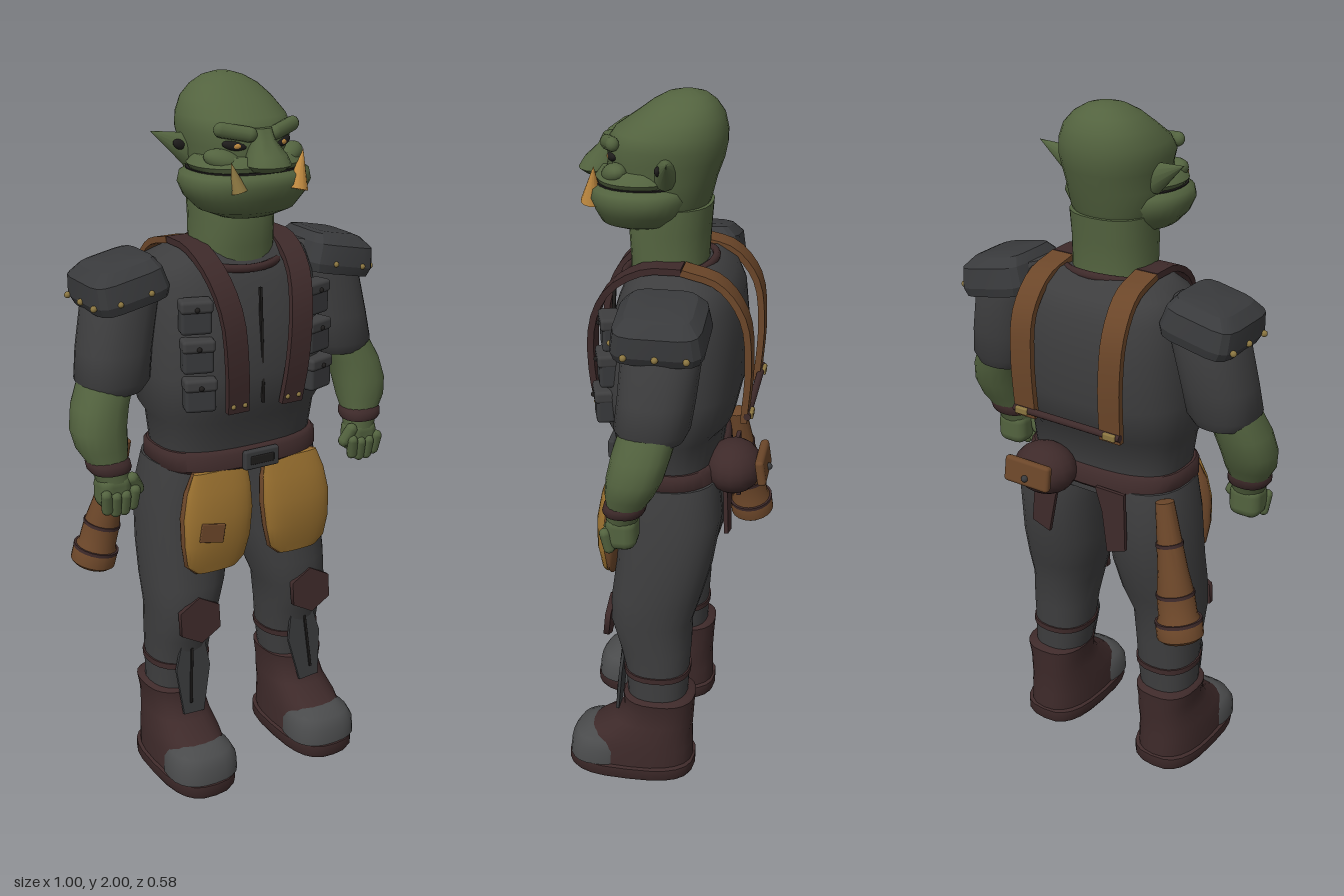
import * as THREE from 'three';
import { toCreasedNormals } from 'three/addons/utils/BufferGeometryUtils.js';
import { RoundedBoxGeometry } from 'three/addons/geometries/RoundedBoxGeometry.js';

const mat = (name, hex) => Object.assign(new THREE.MeshStandardMaterial({ color: hex }), { name });
const M = {
  skin: mat('green skin', 0x53633f), cloth: mat('charcoal cloth', 0x3e3e3f), plate: mat('dark plate', 0x393a3c),
  toe: mat('grey toe cap', 0x4a4b4c), hide: mat('dark red leather', 0x3e2a2a), leather: mat('brown leather', 0x6b4629),
  apron: mat('ochre leather', 0x99702f), tusk: mat('amber tusk', 0xc08a40), black: mat('near black', 0x1f1d1c),
  brass: mat('brass', 0x8a7540),
};

export function createModel() {
  const model = new THREE.Group();
  model.name = 'armouredGoblin';

  function add(name, geo, material, pos = [0, 0, 0], rot = [0, 0, 0], scale = [1, 1, 1]) {
    const m = new THREE.Mesh(geo, material);
    m.name = name;
    m.position.set(...pos); m.rotation.set(...rot); m.scale.set(...scale);
    model.add(m);
    return m;
  }
  // closed surface through equal-sized rings of points, capped at both ends
  function skin(rings, crease) {
    const n = rings[0].length, pos = [], idx = [], last = rings.length - 1;
    rings.forEach(r => r.forEach(p => pos.push(p.x, p.y, p.z)));
    for (let i = 0; i < last; i++) for (let j = 0; j < n; j++) {
      const a = i * n + j, b = i * n + (j + 1) % n;
      idx.push(a, a + n, b, b, a + n, b + n);
    }
    [0, last].forEach((r, k) => {
      const c = new THREE.Vector3();
      rings[r].forEach(p => c.addScaledVector(p, 1 / n));
      const ci = pos.length / 3;
      pos.push(c.x, c.y, c.z);
      for (let j = 0; j < n; j++) {
        const a = r * n + j, b = r * n + (j + 1) % n;
        idx.push(ci, k ? b : a, k ? a : b);
      }
    });
    const g = new THREE.BufferGeometry();
    g.setAttribute('position', new THREE.Float32BufferAttribute(pos, 3));
    g.setIndex(idx);
    return toCreasedNormals(g, crease);
  }
  // rows, bottom to top: [y, centre x, centre z, radius x, radius z]
  function loft(name, material, rows, { p = 2.3, n = 24, crease = 0.8, turn = 0 } = {}) {
    const pw = v => Math.sign(v) * Math.abs(v) ** (2 / p);
    const rings = rows.map(([y, cx, cz, rx, rz]) => Array.from({ length: n }, (_, j) => {
      const a = (j / n) * Math.PI * 2 + turn;
      return new THREE.Vector3(cx + rx * pw(Math.cos(a)), y, cz + rz * pw(Math.sin(a)));
    }));
    return add(name, skin(rings, crease), material);
  }
  // flat strap following a curve, its width along x
  function band(name, material, pts, w, t) {
    const curve = new THREE.CatmullRomCurve3(pts.map(q => new THREE.Vector3(...q)));
    const X = new THREE.Vector3(1, 0, 0), rings = [];
    for (let i = 0; i <= 14; i++) {
      const c = curve.getPoint(i / 14), N = X.clone().cross(curve.getTangent(i / 14)).normalize();
      rings.push([[1, -1], [1, 1], [-1, 1], [-1, -1]].map(([u, v]) =>
        c.clone().addScaledVector(X, u * w / 2).addScaledVector(N, v * t / 2)));
    }
    return add(name, skin(rings, 0.7), material);
  }
  const box = (w, h, d, r = 0.01) => new RoundedBoxGeometry(w, h, d, 2, r);
  const ball = r => new THREE.SphereGeometry(r, 16, 12);

  // head, neck and jaw
  loft('neck', M.skin, [[1.48, 0, 0.01, 0.125, 0.11], [1.56, 0, 0.015, 0.115, 0.105], [1.64, 0, 0.015, 0.115, 0.11], [1.71, 0, 0.0, 0.115, 0.1]]);
  loft('skull', M.skin, [[1.66, 0, 0.03, 0.09, 0.1], [1.72, 0, 0.03, 0.125, 0.125], [1.78, 0, 0.04, 0.137, 0.15],
    [1.83, 0, 0.025, 0.14, 0.153], [1.865, 0, 0.025, 0.148, 0.16], [1.9, 0, 0.012, 0.142, 0.148], [1.94, 0, -0.012, 0.12, 0.115],
    [1.97, 0, -0.022, 0.09, 0.085], [1.99, 0, -0.028, 0.055, 0.055], [2.0, 0, -0.03, 0.02, 0.02]], { p: 2.15, n: 32, crease: 1.2 });
  loft('jaw', M.skin, [[1.645, 0, 0.09, 0.08, 0.07], [1.665, 0, 0.09, 0.13, 0.11], [1.7, 0, 0.085, 0.165, 0.13],
    [1.735, 0, 0.085, 0.18, 0.145], [1.76, 0, 0.085, 0.175, 0.14], [1.772, 0, 0.085, 0.155, 0.12]], { n: 32, crease: 1 });
  loft('upperLip', M.skin, [[1.77, 0, 0.09, 0.15, 0.115], [1.785, 0, 0.09, 0.16, 0.12], [1.81, 0, 0.09, 0.14, 0.1]], { n: 32, crease: 1 });
  loft('mouthLine', M.black, [[1.766, 0, 0.085, 0.158, 0.127], [1.773, 0, 0.085, 0.158, 0.127]], { n: 32 });
  loft('nose', M.skin, [[1.775, 0, 0.195, 0.045, 0.045], [1.79, 0, 0.205, 0.06, 0.055], [1.815, 0, 0.195, 0.052, 0.05],
    [1.85, 0, 0.175, 0.032, 0.033], [1.88, 0, 0.165, 0.028, 0.028]], { n: 14 });

  // torso, belt and hips
  loft('torso', M.cloth, [[0.92, 0, 0.0, 0.22, 0.13], [1.0, 0, 0.008, 0.235, 0.142], [1.09, 0, 0.01, 0.245, 0.155], [1.12, 0, 0.005, 0.262, 0.175],
    [1.22, 0, 0, 0.268, 0.193], [1.36, 0, -0.01, 0.262, 0.185], [1.46, 0, -0.02, 0.25, 0.165], [1.52, 0, -0.02, 0.23, 0.14], [1.555, 0, -0.01, 0.16, 0.1]], { p: 2.7, n: 36 });
  loft('belt', M.hide, [[0.945, 0, 0.01, 0.242, 0.155], [0.955, 0, 0.01, 0.25, 0.165], [0.995, 0, 0.01, 0.25, 0.162], [1.005, 0, 0.01, 0.242, 0.152]], { p: 2.7, n: 36 });
  add('buckle', box(0.11, 0.055, 0.02, 0.006), M.plate, [0, 0.975, 0.18]);
  add('buckleSlot', box(0.075, 0.025, 0.01, 0.003), M.black, [0, 0.975, 0.188]);
  add('collar', new THREE.TorusGeometry(0.14, 0.012, 8, 32), M.hide, [0, 1.53, 0.015], [Math.PI / 2 + 0.2, 0, 0], [1, 0.9, 1]);
  add('jacketSeam', box(0.008, 0.32, 0.01, 0.002), M.black, [0, 1.3, 0.181], [-0.06, 0, 0]);
  add('backBar', new THREE.CylinderGeometry(0.01, 0.01, 0.35, 10), M.hide, [0, 1.17, -0.222], [0, 0, Math.PI / 2]);

  for (const s of [1, -1]) {
    const side = s > 0 ? 'left' : 'right', nm = t => side + t;
    const rows = a => a.map(([y, x, ...r]) => [y, s * x, ...r]);

    // face
    add(nm('Ear'), new THREE.ConeGeometry(0.045, 0.12, 12), M.skin, [s * 0.173, 1.838, -0.002], [0, s * 0.2, -s * 1.12], [1, 1, 0.7]);
    add(nm('EarHollow'), ball(0.018), M.black, [s * 0.158, 1.828, 0.021], [0, 0, -s * 1.1], [0.7, 1.1, 0.5]);
    add(nm('Brow'), new THREE.CapsuleGeometry(0.02, 0.075, 4, 10), M.skin, [s * 0.073, 1.872, 0.162], [0, s * 0.4, s * 1.75], [1, 1, 0.9]);
    add(nm('EyeSocket'), ball(0.03), M.black, [s * 0.072, 1.838, 0.156], [0, s * 0.4, s * 0.15], [1.1, 0.45, 0.4]);
    add(nm('Eye'), ball(0.013), M.tusk, [s * 0.07, 1.837, 0.164], [0, s * 0.4, 0], [1, 0.6, 0.5]);
    add(nm('Cheek'), ball(0.04), M.skin, [s * 0.1, 1.8, 0.145], [0, s * 0.5, s * 0.3], [1.3, 0.7, 0.8]);
    add(nm('Tusk'), new THREE.ConeGeometry(s > 0 ? 0.03 : 0.022, s > 0 ? 0.105 : 0.08, 12), s > 0 ? M.tusk : M.brass,
      [s * 0.098, s > 0 ? 1.77 : 1.768, 0.203], [-0.12, 0, -s * 0.25]);

    // arms
    loft(nm('Sleeve'), M.cloth, rows([[1.19, 0.365, 0, 0.08, 0.085], [1.22, 0.362, 0, 0.1, 0.1], [1.3, 0.35, -0.01, 0.1, 0.102],
      [1.42, 0.325, -0.02, 0.1, 0.105], [1.5, 0.3, -0.02, 0.09, 0.09], [1.53, 0.28, -0.02, 0.06, 0.06]]));
    loft(nm('Forearm'), M.skin, rows([[0.96, 0.405, 0.075, 0.045, 0.042], [1.0, 0.412, 0.065, 0.05, 0.048], [1.05, 0.422, 0.05, 0.07, 0.065],
      [1.1, 0.424, 0.035, 0.076, 0.075], [1.16, 0.41, 0.02, 0.077, 0.078], [1.24, 0.375, 0.0, 0.075, 0.075]]), { n: 18 });
    loft(nm('Bracelet'), M.hide, rows([[0.985, 0.409, 0.07, 0.054, 0.052], [0.995, 0.411, 0.068, 0.06, 0.057], [1.01, 0.413, 0.064, 0.06, 0.057], [1.02, 0.415, 0.06, 0.055, 0.053]]));
    add(nm('Palm'), box(0.095, 0.1, 0.085, 0.03), M.skin, [s * 0.405, 0.93, 0.075]);
    for (let i = 0; i < 4; i++)
      add(nm('Finger'), new THREE.CapsuleGeometry(0.016, 0.045, 4, 8), M.skin, [s * (0.36 + i * 0.027), 0.905 + (i === 1 || i === 2 ? -0.006 : 0.004), 0.11], [0.2, 0, s * (0.1 - i * 0.07)]);
    add(nm('Thumb'), new THREE.CapsuleGeometry(0.018, 0.04, 4, 8), M.skin, [s * 0.35, 0.945, 0.1], [0.2, 0, -s * 0.5]);

    // shoulder guards
    const pad = loft(nm('ShoulderGuard'), M.plate, [[-0.06, 0, 0, 0.104, 0.118], [-0.035, 0, 0, 0.112, 0.124],
      [0.02, 0, 0, 0.104, 0.115], [0.045, -s * 0.01, 0, 0.08, 0.088], [0.05, -s * 0.01, 0, 0.06, 0.07]], { p: 5, n: 16, crease: 0.3, turn: Math.PI / 16 });
    pad.position.set(s * 0.333, 1.49, -0.018); pad.rotation.z = -s * 0.2;
    for (const z of [-0.1, -0.02, 0.06])
      add(nm('GuardRivet'), ball(0.009), M.brass, [s * 0.437, 1.435, z]);
    for (const x of [0.29, 0.38])
      add(nm('GuardFrontRivet'), ball(0.008), M.brass, [s * x, 1.465 - (x - 0.3) * 0.2, 0.104]);

    // straps and chest pouches
    band(nm('FrontStrap'), M.hide, [[s * 0.085, 1.13, 0.195], [s * 0.095, 1.25, 0.212], [s * 0.108, 1.4, 0.205], [s * 0.125, 1.5, 0.155], [s * 0.135, 1.56, 0.06], [s * 0.135, 1.565, -0.04]], 0.065, 0.018);
    band(nm('BackStrap'), M.leather, [[s * 0.135, 1.565, -0.04], [s * 0.14, 1.535, -0.14], [s * 0.145, 1.45, -0.205], [s * 0.143, 1.32, -0.222], [s * 0.14, 1.15, -0.212]], 0.068, 0.018);
    add(nm('StrapBuckle'), box(0.04, 0.02, 0.012, 0.004), M.brass, [s * 0.145, 1.17, -0.231]);
    for (const dx of [-0.018, 0.018]) add(nm('StrapStud'), ball(0.007), M.brass, [s * 0.086 + dx, 1.15, 0.207]);
    for (let i = 0; i < 3; i++) {
      const y = 1.19 + i * 0.105;
      add(nm('ChestPouch'), box(0.085, 0.092, 0.05), M.plate, [s * 0.185, y, 0.165 - i * 0.01], [0, s * 0.3, 0]);
      add(nm('PouchFlap'), box(0.09, 0.035, 0.056), M.cloth, [s * 0.185, y + 0.03, 0.167 - i * 0.01], [0, s * 0.3, 0]);
      add(nm('PouchButton'), ball(0.007), M.black, [s * 0.194, y + 0.024, 0.194 - i * 0.01]);
    }

    // legs
    loft(nm('Leg'), M.cloth, rows([[0.2, 0.2, 0.02, 0.078, 0.085], [0.35, 0.19, 0.022, 0.088, 0.093], [0.43, 0.188, 0.028, 0.092, 0.105],
      [0.52, 0.183, 0.04, 0.1, 0.12], [0.6, 0.17, 0.025, 0.117, 0.13], [0.7, 0.16, 0.005, 0.125, 0.137], [0.85, 0.15, -0.01, 0.128, 0.146], [0.96, 0.13, -0.002, 0.125, 0.138]]));
    loft(nm('ShinStrap'), M.hide, rows([[0.338, 0.191, 0.022, 0.092, 0.098], [0.355, 0.19, 0.022, 0.093, 0.098]]));
    const patch = new THREE.CylinderGeometry(0.072, 0.072, 0.016, 6);
    add(nm('KneePatch'), patch, M.hide, [s * 0.187, 0.51, 0.16], [Math.PI / 2 - 0.1, 0, 0], [1, 1, 0.95]);
    const shin = new THREE.Shape([[-0.035, 0.11], [0.035, 0.11], [0.055, 0.02], [0.035, -0.12], [-0.03, -0.12], [-0.055, 0.02]].map(q => new THREE.Vector2(...q)));
    add(nm('ShinPlate'), new THREE.ExtrudeGeometry(shin, { depth: 0.009, bevelEnabled: false }), M.plate, [s * 0.192, 0.32, 0.122], [-0.1, 0, s * 0.06]);
    add(nm('ShinSeam'), box(0.008, 0.17, 0.006, 0.002), M.black, [s * 0.2, 0.32, 0.134], [-0.1, 0, s * 0.08]);

    // boots
    loft(nm('Sole'), M.hide, rows([[0, 0.205, 0.098, 0.1, 0.183], [0.012, 0.205, 0.098, 0.108, 0.19], [0.042, 0.205, 0.098, 0.108, 0.19], [0.046, 0.205, 0.098, 0.1, 0.182]]), { p: 2.8 });
    loft(nm('Boot'), M.hide, rows([[0.04, 0.205, 0.092, 0.1, 0.178], [0.1, 0.205, 0.085, 0.098, 0.17], [0.14, 0.204, 0.065, 0.094, 0.148],
      [0.18, 0.202, 0.032, 0.088, 0.118], [0.22, 0.202, 0.016, 0.085, 0.104], [0.265, 0.203, 0.014, 0.092, 0.106], [0.272, 0.203, 0.014, 0.085, 0.098]]), { p: 2.5 });
    loft(nm('ToeCap'), M.toe, rows([[0.045, 0.205, 0.19, 0.104, 0.095], [0.09, 0.205, 0.188, 0.102, 0.092], [0.118, 0.205, 0.183, 0.088, 0.08], [0.135, 0.205, 0.175, 0.06, 0.055], [0.14, 0.205, 0.172, 0.03, 0.03]]), { p: 2.5, crease: 1.2 });

    // apron halves, with darker hem
    const flap = (name, m, e, dz) => loft(nm(name), m, rows([[0.66 - e, 0.135, 0.165 + dz, 0.062, 0.012], [0.685, 0.135, 0.165 + dz, 0.09 + e, 0.018], [0.75, 0.132, 0.168 + dz, 0.103 + e, 0.03],
      [0.83, 0.128, 0.165 + dz, 0.108 + e, 0.033], [0.9, 0.122, 0.16 + dz, 0.1 + e, 0.025], [0.955, 0.115, 0.155 + dz, 0.085, 0.012]]));
    flap('ApronHem', M.leather, 0.005, -0.012);
    flap('Apron', M.apron, 0, 0);

    // rear hip flaps
    const tail = new THREE.Shape([[-0.045, 0], [0.05, 0], [0.06, -0.17], [0.0, -0.19], [-0.02, -0.07]].map(q => new THREE.Vector2(s * q[0], q[1])));
    add(nm('RearFlap'), new THREE.ExtrudeGeometry(tail, { depth: 0.012, bevelEnabled: false }), M.hide, [s * 0.1, 0.965, -0.168], [0.04, 0, 0]);
  }

  // patch on the right apron half
  add('apronPatch', box(0.07, 0.055, 0.009, 0.003), M.leather, [-0.165, 0.79, 0.198], [0, -0.15, -0.15]);

  // round pouch at the back of the belt
  add('backPouch', ball(0.085), M.hide, [0.105, 0.985, -0.18], [0, 0, 0], [1.1, 0.88, 0.95]);
  add('backPouchLid', box(0.15, 0.075, 0.025), M.leather, [0.105, 1.0, -0.262], [0.15, 0, 0]);
  add('backPouchClasp', ball(0.01), M.plate, [0.105, 0.99, -0.278]);

  // horn hanging at the right hip
  const from = new THREE.Vector3(-0.355, 0.585, -0.185), axis = new THREE.Vector3(-0.265, 0.98, -0.14).sub(from);
  const profile = [[0, 0], [0.055, 0], [0.066, 0.01], [0.066, 0.05], [0.055, 0.07], [0.053, 0.13], [0.043, 0.2], [0.036, 0.28], [0.026, 0.4], [0, 0.405]];
  const tilt = new THREE.Quaternion().setFromUnitVectors(new THREE.Vector3(0, 1, 0), axis.clone().normalize());
  const horn = add('horn', toCreasedNormals(new THREE.LatheGeometry(profile.map(q => new THREE.Vector2(...q)), 20), 0.6), M.leather, from.toArray());
  horn.quaternion.copy(tilt);
  for (const [t, r] of [[0.055, 0.067], [0.135, 0.055], [0.28, 0.039]]) {
    const ring = add('hornRing', new THREE.CylinderGeometry(r, r, 0.01, 20), M.hide, from.clone().addScaledVector(axis, t / axis.length()).toArray());
    ring.quaternion.copy(tilt);
  }
  return model;
}
